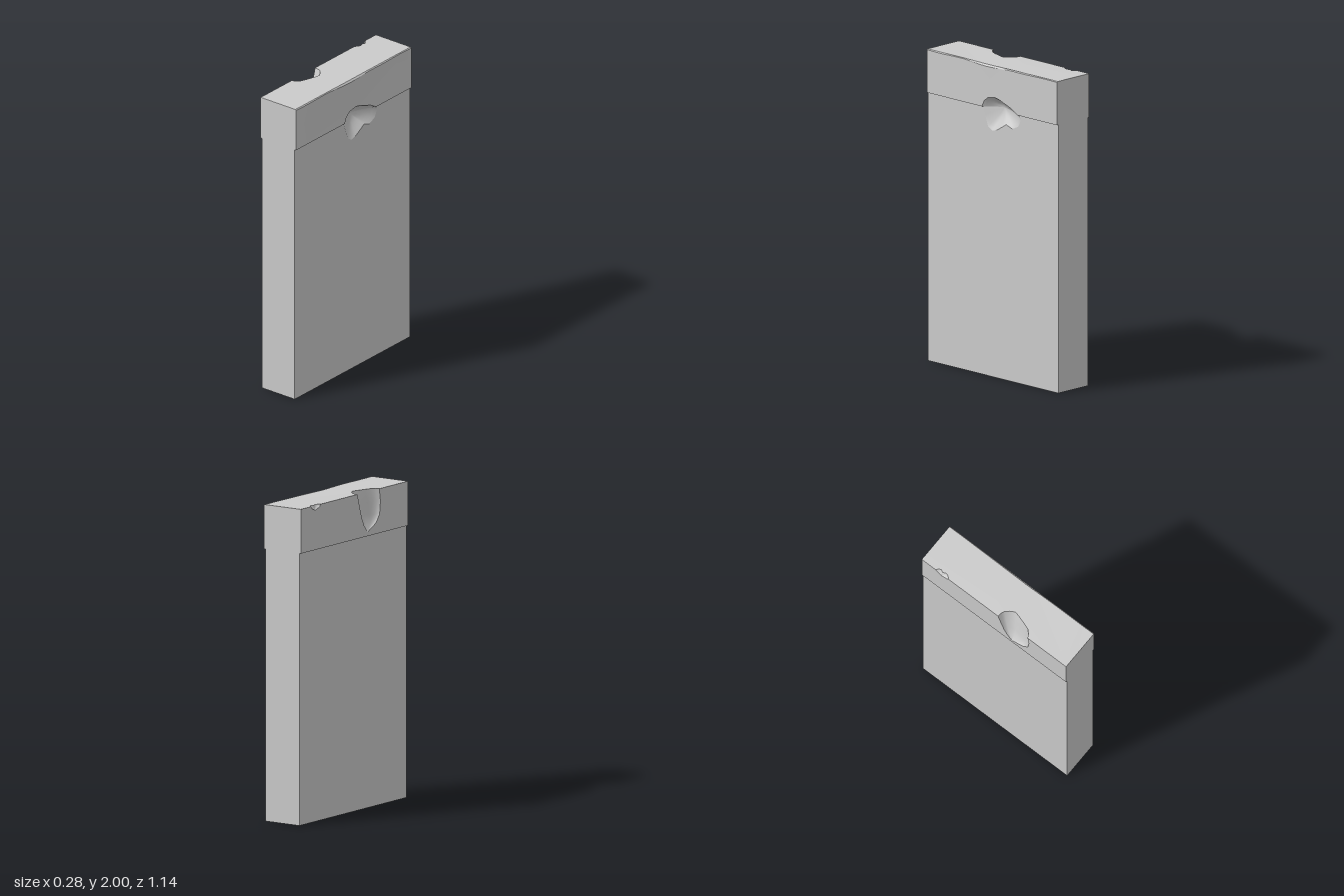
import * as THREE from 'three';

const Z = 0.571;                       // half length
const STEP = 1.72;                     // underside of the cap
const BODY = [-0.132, 0.128];          // body faces in x
const CAP = [-0.143, 0.138];           // cap faces in x
const material = new THREE.MeshStandardMaterial({ color: 0xcccccc });

// Turns the triangles so that the surface faces along dir, then adds it.
function add(group, name, geo, dir) {
  const p = geo.attributes.position, idx = geo.index.array;
  const [a, b, c] = [0, 1, 2].map(() => new THREE.Vector3());
  const sum = new THREE.Vector3();
  for (let i = 0; i < idx.length; i += 3) {
    a.fromBufferAttribute(p, idx[i]);
    b.fromBufferAttribute(p, idx[i + 1]).sub(a);
    c.fromBufferAttribute(p, idx[i + 2]).sub(a);
    sum.add(b.cross(c));
  }
  if (sum.dot(new THREE.Vector3(...dir)) < 0) idx.reverse();
  geo.computeVertexNormals();
  const mesh = new THREE.Mesh(geo, material);
  mesh.name = name;
  group.add(mesh);
}

// Flat polygon of [u, v] points placed in space by map(u, v).
function panel(group, name, pts, map, dir) {
  const geo = new THREE.ShapeGeometry(new THREE.Shape(pts.map(([u, v]) => new THREE.Vector2(u, v))));
  const p = geo.attributes.position;
  for (let i = 0; i < p.count; i++) p.setXYZ(i, ...map(p.getX(i), p.getY(i)));
  add(group, name, geo, dir);
}

// Surface through equally long rows of [x, y, z] points.
function loft(group, name, rows, dir) {
  const n = rows[0].length, index = [];
  for (let j = 0; j < rows.length - 1; j++) for (let i = 0; i < n - 1; i++) {
    const a = j * n + i, b = a + n;
    index.push(a, b, a + 1, b, b + 1, a + 1);
  }
  const geo = new THREE.BufferGeometry();
  geo.setAttribute('position', new THREE.Float32BufferAttribute(rows.flat(2), 3));
  geo.setIndex(index);
  add(group, name, geo, dir);
}

const rect = (u0, v0, u1, v1) => [[u0, v0], [u1, v0], [u1, v1], [u0, v1]];

// Chip on the +x side, [z, y], split where it crosses the cap's lower edge
const chipUpper = [[0.088, STEP], [0.07, 1.76], [0.035, 1.787], [-0.024, 1.797], [-0.06, 1.79],
  [-0.1, 1.776], [-0.168, 1.752], [-0.225, STEP]];
const chipLower = [[-0.225, STEP], [-0.246, 1.692], [-0.22, 1.644], [-0.168, 1.62], [-0.114, 1.638],
  [-0.07, 1.61], [-0.035, 1.59], [0.008, 1.577], [0.045, 1.6], [0.07, 1.67], [0.088, STEP]];

// Notches in the -x top edge: rim on the top [z, x] and the two face edges [z, y]
const notches = [
  { name: 'largeEdgeNotch',
    rim: [[0.032, CAP[0]], [0.036, -0.115], [0.045, -0.095], [0.07, -0.072], [0.1, -0.055],
      [0.13, -0.062], [0.19, -0.08], [0.23, -0.095], [0.255, -0.12], [0.265, CAP[0]]],
    low: [[0.032, 2], [0.055, 1.92], [0.08, 1.84], [0.105, 1.79], [0.14, 1.745]],
    high: [[0.265, 2], [0.277, 1.92], [0.268, 1.84], [0.23, 1.79], [0.14, 1.745]],
    depth: [1, 0.72, 0.5, 0.3, 0] },
  { name: 'smallEdgeNotch',
    rim: [[-0.462, CAP[0]], [-0.45, -0.128], [-0.435, -0.12], [-0.415, -0.13], [-0.395, -0.121],
      [-0.375, -0.127], [-0.36, CAP[0]]],
    low: [[-0.462, 2], [-0.45, 1.985], [-0.42, 1.97]],
    high: [[-0.36, 2], [-0.37, 1.985], [-0.42, 1.97]],
    depth: [1, 0.7, 0] },
];

// Worn +x top edge
const wornZ = Array.from({ length: 25 }, (_, i) => Z - (2 * Z * i) / 24);
const wear = z => 0.009 * Math.exp(-(((z - 0.02) / 0.14) ** 2)) + 0.0015 * (1 + Math.sin(z * 17));
const topEdge = z => [CAP[1] - 0.005 - 0.3 * wear(z), 2 - 0.3 * wear(z), z];
const faceEdge = z => [CAP[1] + 0.2 * wear(z), 1.996 - wear(z), z];

function createBody() {
  const g = new THREE.Group();
  g.name = 'body';
  panel(g, 'bodyRightFace', [[-Z, 0], [Z, 0], [Z, STEP], ...[...chipLower].reverse(), [-Z, STEP]],
    (z, y) => [BODY[1], y, z], [1, 0, 0]);
  panel(g, 'bodyLeftFace', rect(-Z, 0, Z, STEP), (z, y) => [BODY[0], y, z], [-1, 0, 0]);
  panel(g, 'bodyBase', rect(BODY[0], -Z, BODY[1], Z), (x, z) => [x, 0, z], [0, -1, 0]);
  for (const s of [1, -1])
    panel(g, 'bodyEnd', rect(BODY[0], 0, BODY[1], STEP), (x, y) => [x, y, s * Z], [0, 0, s]);
  return g;
}

function createCap() {
  const g = new THREE.Group();
  g.name = 'cap';
  const [large, small] = notches;

  // +x face, with the chip cut from its lower edge
  panel(g, 'capRightFace',
    [[-Z, STEP], [-0.225, STEP], ...[...chipUpper].reverse().slice(1), [Z, STEP],
      ...wornZ.map(z => [z, faceEdge(z)[1]])],
    (z, y) => [y > 1.95 ? faceEdge(z)[0] : CAP[1], y, z], [1, 0, 0]);
  loft(g, 'wornTopEdge', [wornZ.map(topEdge), wornZ.map(faceEdge)], [1, 1, 0]);

  // -x face and top, both cut by the notches
  const faceCut = n => [...[...n.high], ...[...n.low].reverse().slice(1)];
  panel(g, 'capLeftFace', [[-Z, STEP], [Z, STEP], [Z, 2], ...faceCut(large), ...faceCut(small), [-Z, 2]],
    (z, y) => [CAP[0], y, z], [-1, 0, 0]);
  panel(g, 'capTop',
    [[-Z, CAP[0]], ...small.rim, ...large.rim, [Z, CAP[0]], ...wornZ.map(z => [z, topEdge(z)[0]])],
    (z, x) => [x, x > 0 ? topEdge(z)[1] : 2, z], [0, 1, 0]);

  // Ends and the narrow ledges under the cap
  for (const s of [1, -1]) {
    const t = topEdge(s * Z), f = faceEdge(s * Z);
    panel(g, 'capEnd', [[CAP[0], STEP], [CAP[1], STEP], [f[0], f[1]], [t[0], t[1]], [CAP[0], 2]],
      (x, y) => [x, y, s * Z], [0, 0, s]);
  }
  for (const [x0, x1, z0, z1] of [[CAP[0], BODY[0], -Z, Z], [BODY[1], CAP[1], 0.088, Z],
    [BODY[1], CAP[1], -Z, -0.225]])
    panel(g, 'capLedge', rect(x0, z0, x1, z1), (x, z) => [x, STEP, z], [0, -1, 0]);
  return g;
}

// Concave bowl: rings of the chip outline shrinking towards its deepest point
function createChip() {
  const g = new THREE.Group();
  g.name = 'sideChip';
  const rim = [...chipUpper.map(p => [CAP[1], p[1], p[0]]), ...chipLower.map(p => [BODY[1], p[1], p[0]])];
  const deep = [0.072, 1.725, -0.045], rows = [];
  for (let k = 0; k <= 7; k++) {
    const t = k / 7, sink = Math.sin((t * Math.PI) / 2);
    rows.push(rim.map(p => [p[0] + (deep[0] - p[0]) * sink,
      p[1] + (deep[1] - p[1]) * t, p[2] + (deep[2] - p[2]) * t]));
  }
  loft(g, 'chipBowl', rows, [1, 0, 0]);
  return g;
}

// Notch surface: the top rim shrinks down the face to a point
function createNotch({ name, rim, low, high, depth }) {
  const g = new THREE.Group();
  g.name = name;
  const z0 = rim[0][0], span = rim[rim.length - 1][0] - z0;
  loft(g, name + 'Surface', depth.map((d, j) => rim.map(([z, x]) => [
    CAP[0] + (x - CAP[0]) * d,
    low[j][1],
    low[j][0] + ((z - z0) / span) * (high[j][0] - low[j][0]),
  ])), [-1, 1, 0]);
  return g;
}

export function createModel() {
  const model = new THREE.Group();
  model.name = 'chippedSlab';
  model.add(createBody(), createCap(), createChip(), ...notches.map(createNotch));
  return model;
}
